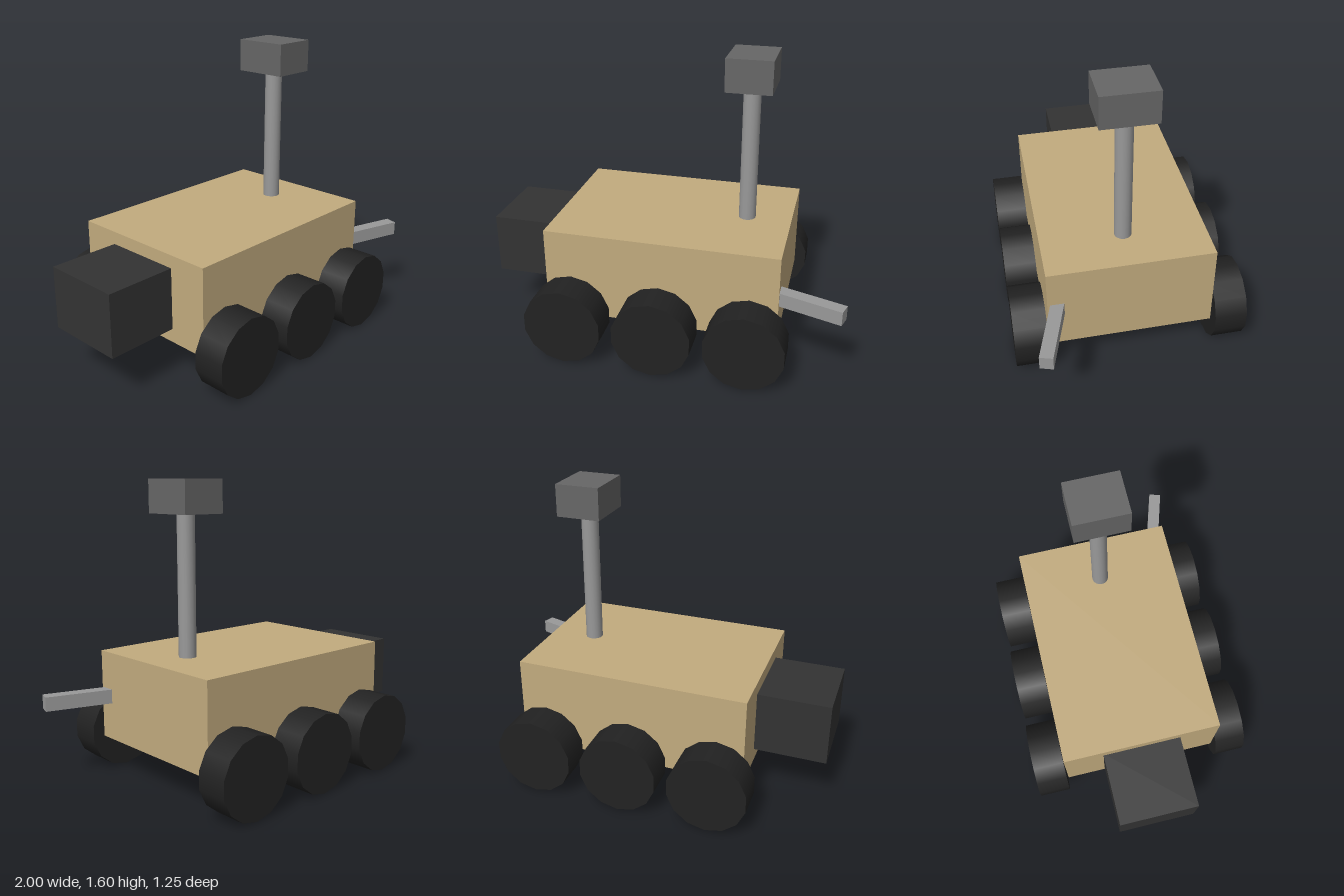
import * as THREE from 'three';

const material = (color) => new THREE.MeshStandardMaterial({ color });

export function createModel() {
  const rover = new THREE.Group();
  rover.name = 'rover';

  const tan = material(0xc2ab7e);
  const black = material(0x222222);
  const charcoal = material(0x333333);
  const darkGrey = material(0x666666);
  const lightGrey = material(0x999999);

  const add = (name, geometry, mat, x, y, z) => {
    const mesh = new THREE.Mesh(geometry, mat);
    mesh.name = name;
    mesh.position.set(x, y, z);
    rover.add(mesh);
    return mesh;
  };

  // Main hull and the power unit behind it
  add('body', new THREE.BoxGeometry(1.27, 0.486, 0.884), tan, 0.024, 0.442, 0);
  add('powerUnit', new THREE.BoxGeometry(0.4, 0.34, 0.44), charcoal, -0.8, 0.444, 0);

  // Camera mast
  add('mast', new THREE.CylinderGeometry(0.047, 0.047, 0.76, 16), lightGrey, 0.415, 1.06, 0);
  add('cameraHead', new THREE.BoxGeometry(0.243, 0.175, 0.294), darkGrey, 0.415, 1.517, 0);

  // Arm, swung outward from the front left of the hull
  const armLength = 0.48;
  const armAngle = 0.3;
  const arm = add('arm', new THREE.BoxGeometry(armLength, 0.077, 0.07), lightGrey,
    0.99 - Math.cos(armAngle) * armLength / 2, 0.442,
    0.493 - Math.sin(armAngle) * armLength / 2);
  arm.rotation.y = -armAngle;

  // Three wheels on each side
  const wheelGeometry = new THREE.CylinderGeometry(0.215, 0.215, 0.176, 14).rotateX(Math.PI / 2);
  for (const [side, z] of [['front', 0.538], ['back', -0.538]]) {
    [-0.465, 0.024, 0.512].forEach((x, i) => {
      add(`${side}Wheel${i + 1}`, wheelGeometry, black, x, 0.215, z);
    });
  }

  return rover;
}
